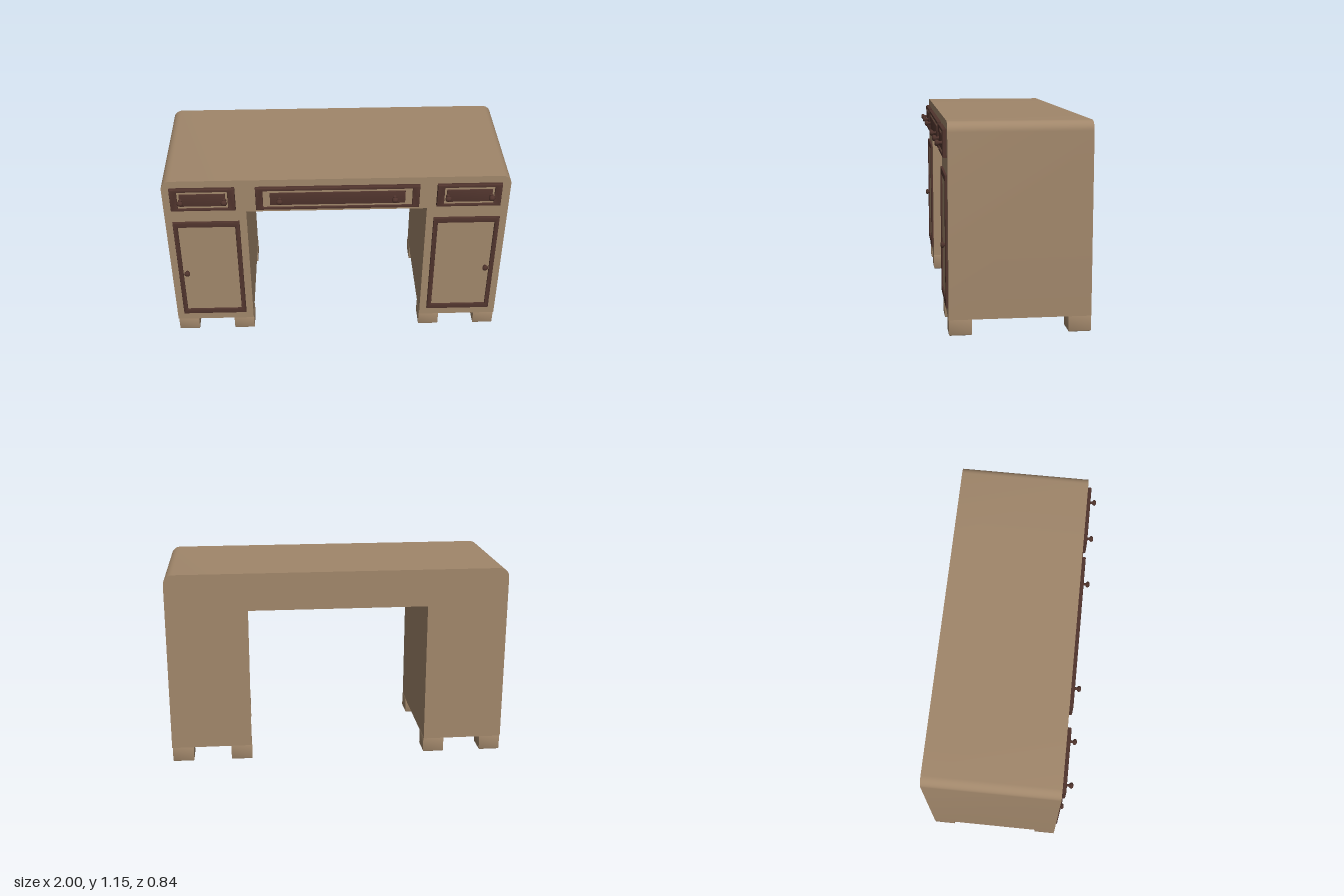
import * as THREE from 'three';
import { toCreasedNormals } from 'three/addons/utils/BufferGeometryUtils.js';

const wood = new THREE.MeshStandardMaterial({ color: 0xa0866a });
wood.name = 'light wood';
const dark = new THREE.MeshStandardMaterial({ color: 0x50342d });
dark.name = 'dark wood';

const FRONT = 0.36, BACK = -0.415;

function add(parent, name, geometry, material, x = 0, y = 0, z = 0) {
  const mesh = new THREE.Mesh(geometry, material);
  mesh.name = name;
  mesh.position.set(x, y, z);
  parent.add(mesh);
  return mesh;
}

function rectPath(path, w, h) {
  path.moveTo(-w / 2, -h / 2);
  path.lineTo(w / 2, -h / 2);
  path.lineTo(w / 2, h / 2);
  path.lineTo(-w / 2, h / 2);
  path.closePath();
  return path;
}

// Bevelled slab of outer size w x h, optionally with an opening; its back lies on z = 0
function slab(w, h, depth, bevel, hole) {
  const shape = rectPath(new THREE.Shape(), w - 2 * bevel, h - 2 * bevel);
  if (hole) shape.holes.push(rectPath(new THREE.Path(), hole[0] + 2 * bevel, hole[1] + 2 * bevel));
  const g = new THREE.ExtrudeGeometry(shape, {
    depth: depth - bevel, bevelEnabled: true, bevelThickness: bevel, bevelSize: bevel, bevelSegments: 2,
  });
  return toCreasedNormals(g, 0.6);
}

// Pedestal block with a rounded outer top edge (outer edge towards side * x)
function pedestal(side) {
  const r = 0.055, inner = 0.525, bottom = 0.09, top = 1.15;
  const s = new THREE.Shape();
  s.moveTo(side * inner, bottom);
  s.lineTo(side, bottom);
  s.lineTo(side, top - r);
  s.bezierCurveTo(side, top - r * 0.45, side * (1 - r * 0.45), top, side * (1 - r), top);
  s.lineTo(side * inner, top);
  s.closePath();
  const g = new THREE.ExtrudeGeometry(s, { depth: FRONT - BACK, bevelEnabled: false, curveSegments: 8 });
  return toCreasedNormals(g, 0.6);
}

// Turned knob: thin stem flaring to a rounded head, pointing to +z
const knobGeometry = new THREE.LatheGeometry(
  [[0.013, 0], [0.008, 0.006], [0.008, 0.016], [0.017, 0.024], [0.018, 0.032], [0.011, 0.039], [0, 0.041]]
    .map(([x, y]) => new THREE.Vector2(x, y)), 16).rotateX(Math.PI / 2);

function drawer(parent, name, x, w, knobs, ring) {
  const g = new THREE.Group();
  g.name = name;
  g.position.set(x, 1.03, FRONT);
  parent.add(g);
  const iw = w - 0.085, ih = 0.112;
  add(g, 'drawerFrame', slab(w, 0.15, 0.023, 0.006, [iw, ih]), dark);
  add(g, 'drawerInlay', new THREE.BoxGeometry(iw + 0.01, ih + 0.01, 0.016), wood, 0, 0, 0.008);
  add(g, 'drawerPanel', slab(iw - 2 * ring, 0.084, 0.022, 0.003), dark);
  for (const k of knobs) add(g, 'drawerKnob', knobGeometry, dark, k, 0, 0.02);
}

export function createModel() {
  const desk = new THREE.Group();
  desk.name = 'desk';

  // Bridge between the pedestals
  add(desk, 'centreTop', new THREE.BoxGeometry(1.05, 0.22, FRONT - BACK), wood, 0, 1.04, (FRONT + BACK) / 2);

  // Foot: rounded block, widest at the top
  const footGeometry = slab(0.125, 0.125, 0.092, 0.01).rotateX(Math.PI / 2);

  for (const side of [-1, 1]) {
    const unit = new THREE.Group();
    unit.name = side > 0 ? 'leftPedestal' : 'rightPedestal';
    desk.add(unit);
    add(unit, 'pedestalBody', pedestal(side), wood, 0, 0, BACK);

    for (const x of [0.585, 0.934])
      for (const z of [0.297, -0.352]) add(unit, 'foot', footGeometry, wood, side * x, 0.092, z);

    // Cupboard door: dark moulding around a plain panel
    const doorX = side * 0.763;
    add(unit, 'doorFrame', slab(0.39, 0.72, 0.013, 0.006, [0.335, 0.645]), dark, doorX, 0.504, FRONT);
    add(unit, 'doorPanel', new THREE.BoxGeometry(0.345, 0.655, 0.004), wood, doorX, 0.504, FRONT + 0.002);
    add(unit, 'doorKnob', knobGeometry, dark, side * 0.906, 0.483, FRONT).scale.z = 0.85;

    drawer(unit, 'sideDrawer', side > 0 ? 0.763 : -0.769, 0.372, [-0.125, 0.125], 0.012);
  }

  drawer(desk, 'centreDrawer', 0.005, 0.942, [-0.333, 0.327], 0.04);
  return desk;
}
